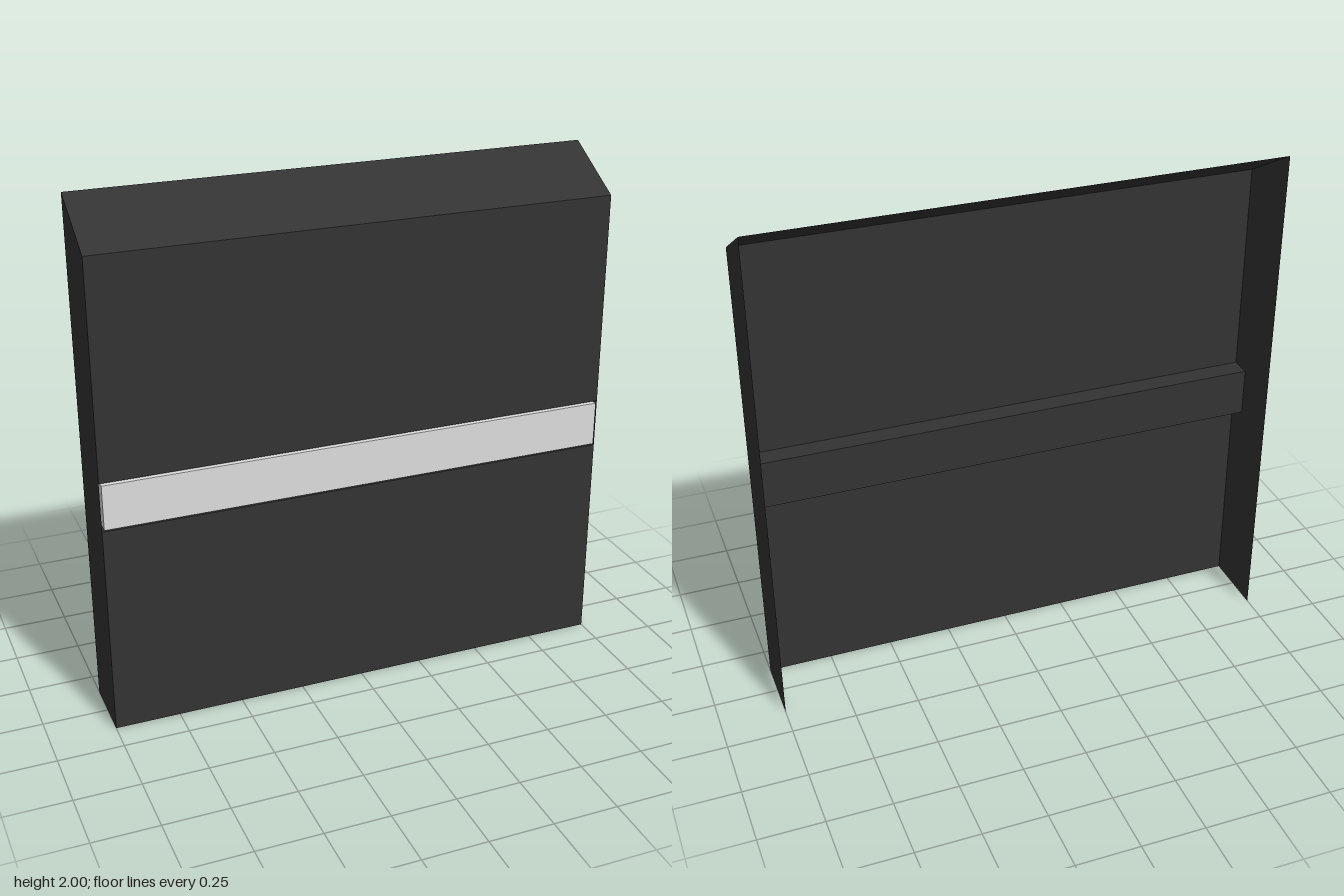
import * as THREE from 'three';

const FRONT = 0.13, BACK = -0.135, RECESS = 0.05;

// Open sheet swept across the full width from a [y, z] profile
function sheet(profile) {
  const pos = [];
  for (let i = 0; i < profile.length - 1; i++) {
    const [y0, z0] = profile[i], [y1, z1] = profile[i + 1];
    pos.push(-1, y0, z0, 1, y0, z0, 1, y1, z1);
    pos.push(-1, y0, z0, 1, y1, z1, -1, y1, z1);
  }
  const g = new THREE.BufferGeometry();
  g.setAttribute('position', new THREE.Float32BufferAttribute(pos, 3));
  g.computeVertexNormals();
  return g;
}

export function createModel() {
  const group = new THREE.Group();
  const charcoal = new THREE.MeshStandardMaterial({ color: 0x333333, side: THREE.DoubleSide });
  charcoal.name = 'charcoal';
  const paleGrey = new THREE.MeshStandardMaterial({ color: 0xdddddd });
  paleGrey.name = 'paleGrey';

  const add = (name, geometry, material) => {
    const mesh = new THREE.Mesh(geometry, material);
    mesh.name = name;
    group.add(mesh);
    return mesh;
  };

  // Front panel with the recessed channel, and the sloping top
  add('frontPanel', sheet([
    [0, FRONT], [0.83, FRONT], [0.83, RECESS], [1.02, RECESS], [1.02, FRONT], [1.85, FRONT],
  ]), charcoal);
  add('slopedTop', sheet([[1.85, FRONT], [2, BACK]]), charcoal);

  // Side walls; back and bottom stay open
  const side = new THREE.Shape([
    [BACK, 0], [FRONT, 0], [FRONT, 1.85], [BACK, 2],
  ].map(([z, y]) => new THREE.Vector2(z, y)));
  for (const s of [-1, 1]) {
    const wall = add(s > 0 ? 'leftWall' : 'rightWall',
      new THREE.ShapeGeometry(side).rotateY(-Math.PI / 2), charcoal);
    wall.position.x = s;
  }

  // Pale bar set in the channel, standing slightly proud of the panel
  const depth = 0.08;
  const bar = add('bar', new THREE.BoxGeometry(1.985, 0.175, depth), paleGrey);
  bar.position.set(0, 0.925, 0.135 - depth / 2);

  return group;
}
